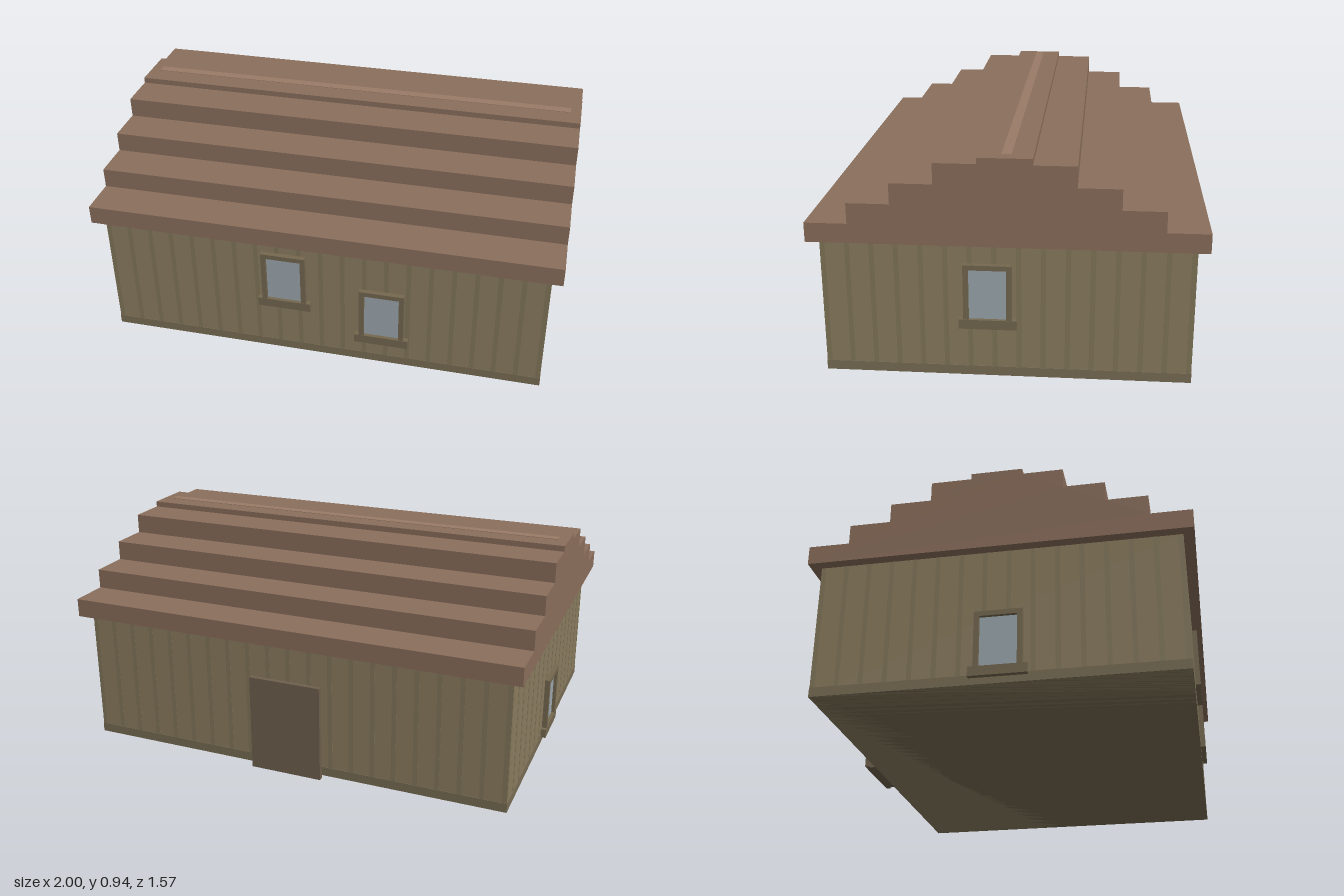
import * as THREE from 'three';

const mat = (color) => new THREE.MeshStandardMaterial({ color, flatShading: true });
const wallMat = mat(0x8b7d60);
const grooveMat = mat(0x82775a);
const plinthMat = mat(0x796d54);
const roofMat = mat(0x8b6f5c);
const ridgeMat = mat(0x9a7b66);
const trimMat = mat(0x756850);
const glassMat = mat(0x9ca8ae);
const doorMat = mat(0x6f604d);

const HX = 0.955, HZ = 0.74, WALL_H = 0.58;

function box(name, parent, material, w, h, d, x, y, z) {
  const mesh = new THREE.Mesh(new THREE.BoxGeometry(w, h, d), material);
  mesh.name = name;
  mesh.position.set(x, y, z);
  parent.add(mesh);
  return mesh;
}

// Vertical cladding strips, barely proud of each wall
function addCladding(parent) {
  const strips = new THREE.Group();
  strips.name = 'claddingStrips';
  const t = 0.002, w = 0.02, h = WALL_H;
  for (const s of [-1, 1]) {
    for (let i = 0; i <= 20; i++) {
      const x = -HX + w / 2 + (i / 20) * (2 * HX - w);
      box('strip', strips, grooveMat, w, h, t, x, h / 2, s * HZ);
    }
    for (let i = 0; i <= 15; i++) {
      const z = -HZ + w / 2 + (i / 15) * (2 * HZ - w);
      box('strip', strips, grooveMat, t, h, w, s * HX, h / 2, z);
    }
  }
  parent.add(strips);
}

// Window facing +z with its origin at the bottom centre of the sill
function makeWindow(name) {
  const g = new THREE.Group();
  g.name = name;
  const w = 0.193, h = 0.275, sill = 0.04, bar = 0.021, depth = 0.022;
  const outline = new THREE.Shape();
  outline.moveTo(-w / 2, 0.01);
  outline.lineTo(w / 2, 0.01);
  outline.lineTo(w / 2, h);
  outline.lineTo(-w / 2, h);
  outline.closePath();
  const hole = new THREE.Path();
  hole.moveTo(-w / 2 + bar, sill - 0.005);
  hole.lineTo(-w / 2 + bar, h - bar);
  hole.lineTo(w / 2 - bar, h - bar);
  hole.lineTo(w / 2 - bar, sill - 0.005);
  hole.closePath();
  outline.holes.push(hole);
  const frame = new THREE.Mesh(
    new THREE.ExtrudeGeometry(outline, { depth, bevelEnabled: false }), trimMat);
  frame.name = 'windowFrame';
  g.add(frame);
  box('windowSill', g, trimMat, 0.233, sill, depth + 0.001, 0, sill / 2, (depth + 0.001) / 2);
  box('windowGlass', g, glassMat, w - bar, h - bar - 0.02, 0.008, 0, (h + 0.01) / 2, 0.004);
  return g;
}

// Stair-stepped roof extruded along x
function makeRoof() {
  const steps = [[0.785, 0.66], [0.615, 0.745], [0.445, 0.83], [0.275, 0.915], [0.107, 0.94]];
  const right = [];
  let y = WALL_H;
  for (const [z, top] of steps) {
    right.push(new THREE.Vector2(z, y), new THREE.Vector2(z, top));
    y = top;
  }
  const left = right.map((p) => new THREE.Vector2(-p.x, p.y)).reverse();
  const geo = new THREE.ExtrudeGeometry(new THREE.Shape([...right, ...left]),
    { depth: 2, bevelEnabled: false });
  geo.translate(0, 0, -1);
  geo.rotateY(Math.PI / 2);
  const roof = new THREE.Mesh(geo, roofMat);
  roof.name = 'steppedRoof';
  return roof;
}

export function createModel() {
  const house = new THREE.Group();
  house.name = 'house';

  // Walls and plinth
  box('walls', house, wallMat, 2 * HX, WALL_H, 2 * HZ, 0, WALL_H / 2, 0);
  addCladding(house);
  box('plinth', house, plinthMat, 2 * HX + 0.004, 0.04, 2 * HZ + 0.004, 0, 0.02, 0);

  // Roof with ridge strip
  house.add(makeRoof());
  box('ridgeStrip', house, ridgeMat, 1.91, 0.004, 0.04, 0, 0.94, -0.003);

  // Windows: name, x, sill bottom, z, turn
  const windows = [
    ['frontWindowRight', -0.16, 0.24, HZ, 0],
    ['frontWindowLeft', 0.267, 0.112, HZ, 0],
    ['leftWindow', HX, 0.216, 0.075, Math.PI / 2],
    ['rightWindow', -HX, 0.028, 0.012, -Math.PI / 2],
  ];
  for (const [name, x, y, z, turn] of windows) {
    const win = makeWindow(name);
    win.position.set(x, y, z);
    win.rotation.y = turn;
    house.add(win);
  }

  // Back door: inner panel and larger outer slab
  const door = new THREE.Group();
  door.name = 'backDoor';
  box('doorPanel', door, doorMat, 0.29, 0.405, 0.03, 0, 0.2025, -HZ - 0.012);
  box('doorSlab', door, doorMat, 0.32, 0.425, 0.02, 0, 0.2125, -HZ - 0.035);
  house.add(door);

  return house;
}
